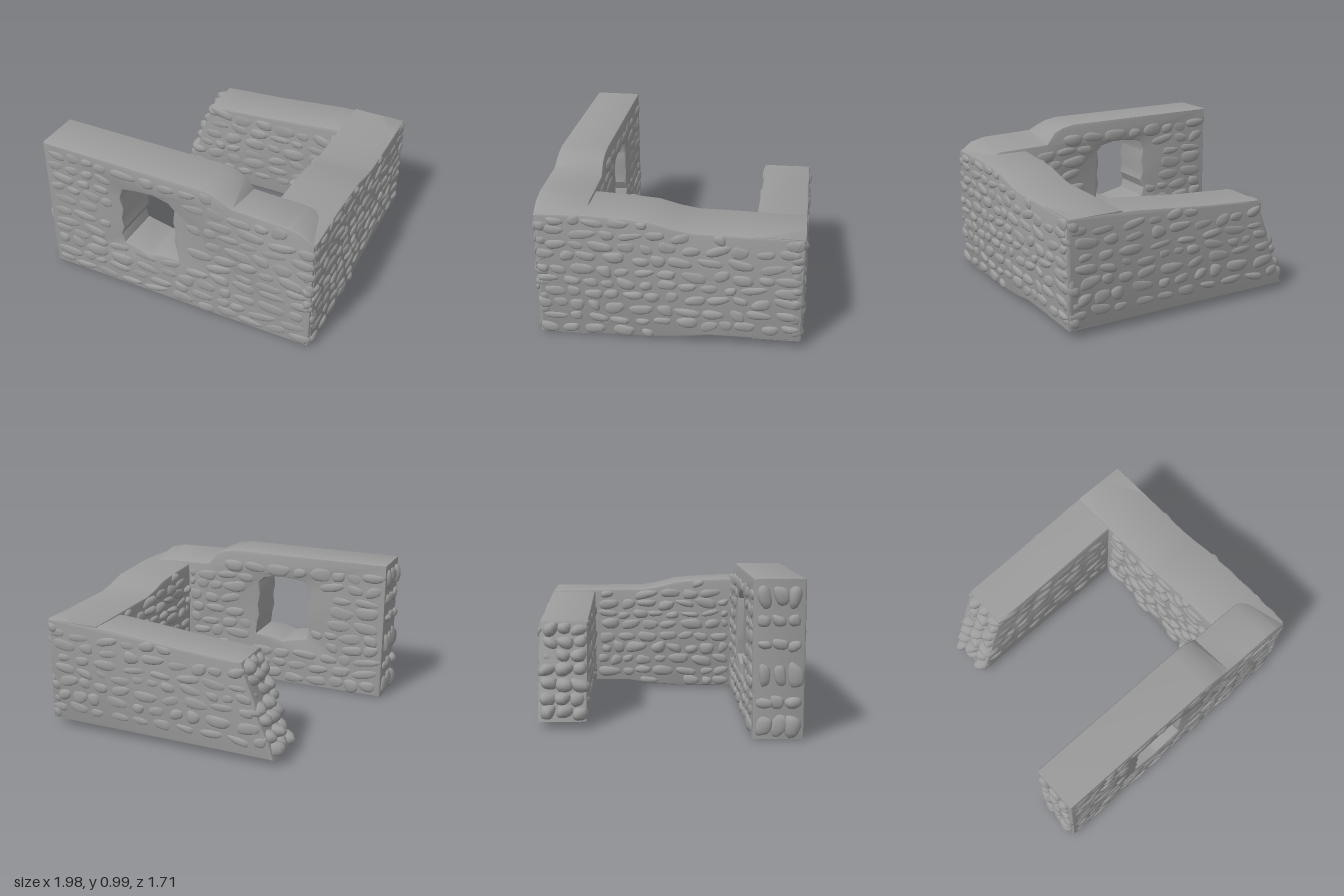
import * as THREE from 'three';
import { mergeGeometries, mergeVertices, toCreasedNormals } from 'three/addons/utils/BufferGeometryUtils.js';

const stoneGrey = new THREE.MeshStandardMaterial({ color: 0x9b9b9b });
stoneGrey.name = 'stone grey';

let seed = 11;
const rand = (a = 0, b = 1) => {
  seed = (seed * 16807) % 2147483647;
  return a + (b - a) * (seed / 2147483647);
};

// Height profiles: [position along the wall, height]
const frontTop = [[-0.95, 1], [0.2, 1], [0.29, 0.985], [0.36, 0.955], [0.42, 0.925], [0.6, 0.92],
  [0.78, 0.915], [0.88, 0.89], [0.96, 0.83]];
const sideTop = [[-0.83, 0.76], [-0.4, 0.768], [-0.15, 0.77], [-0.03, 0.79], [0.1, 0.825], [0.25, 0.837], [0.5, 0.85], [0.82, 0.84]];
const sideBottom = [[-0.83, 0.065], [-0.25, 0.06], [-0.1, 0.035], [0.1, 0.022], [0.82, 0.01]];
const backTop = [[-0.43, 0.67], [-0.3, 0.68], [0, 0.70], [0.5, 0.75], [0.96, 0.765]];
const backEnd = y => -0.64 + 0.24 * Math.max(0, y - 0.06) / 0.61;

function heightAt(profile, a) {
  for (let i = 1; i < profile.length; i++) {
    const [p, h] = profile[i - 1], [q, k] = profile[i];
    if (a <= q) return h + (k - h) * Math.max(0, (a - p) / (q - p));
  }
  return profile[profile.length - 1][1];
}

// Solid wall core with softened edges
function wallCore(name, points, depth, place, hole) {
  const shape = new THREE.Shape(points.map(p => new THREE.Vector2(...p)));
  if (hole) shape.holes.push(new THREE.Path(hole.map(p => new THREE.Vector2(...p))));
  const bevel = 0.014;
  let g = new THREE.ExtrudeGeometry(shape, {
    depth: depth - 2 * bevel, bevelEnabled: true, bevelSize: bevel, bevelThickness: bevel, bevelOffset: -bevel, bevelSegments: 2
  });
  g.translate(0, 0, bevel);
  place(g);
  g = toCreasedNormals(g, 0.6);
  const mesh = new THREE.Mesh(g, stoneGrey);
  mesh.name = name;
  return mesh;
}

// One irregular rounded stone; w along the face, h upward, d outward
function stone(x, y, z, w, h, d, angle, tilt = rand(-0.18, 0.18)) {
  let g = new THREE.SphereGeometry(1, 12, 8);
  g.deleteAttribute('uv');
  g.deleteAttribute('normal');
  g = mergeVertices(g, 1e-4);
  const p = g.attributes.position, k = rand(0, 6), taper = rand(-0.3, 0.3), skew = rand(-0.3, 0.3);
  const box = v => Math.sign(v) * Math.abs(v) ** 0.82;
  for (let i = 0; i < p.count; i++) {
    const a = p.getX(i), b = p.getY(i), c = p.getZ(i);
    const lump = 1 + 0.1 * Math.sin(3 * a + k) * Math.cos(2.5 * b + k);
    p.setXYZ(i, box(a) * lump + skew * b, box(b) * lump * (1 + taper * a), c * (1 + 0.2 * Math.sin(2 * a + k)));
  }
  g.scale(w / 2, h / 2, d);
  g.rotateZ(tilt);
  g.rotateY(angle);
  g.translate(x, y, z);
  g.computeVertexNormals();
  return g;
}

// Irregular courses of stones over one wall face
function facing(name, { angle, plane, from, to, top, bottom = () => 0.015, start = () => from, skip = () => false, size = 1, gap = 0.01, d = 0.02 }) {
  const alongX = Math.abs(Math.sin(angle)) < 0.5, stones = [];
  for (let y = 0.02; y < 1;) {
    const row = rand(0.075, 0.105) * size;
    for (let a = Math.max(from, start(y)) + rand(0, 0.03); a < to - 0.04;) {
      const w = Math.min(rand(0.09, 0.21) * size, to - a), h = row * rand(0.65, 1.05);
      const c = a + w / 2, m = y + row / 2 + rand(-0.012, 0.012);
      const clear = m + h / 2 < Math.min(top(a), top(a + w)) && m - h / 2 > bottom(c) - 0.01;
      if (clear && !skip(c, m, w, h)) {
        const depth = d * rand(0.6, 1.15);
        stones.push(alongX ? stone(c, m, plane, w, h, depth, angle) : stone(plane, m, c, w, h, depth, angle));
      }
      a += w + rand(0, gap * 2);
    }
    y += row + gap * 0.4;
  }
  return merged(name, stones);
}

function merged(name, list) {
  const mesh = new THREE.Mesh(mergeGeometries(list), stoneGrey);
  mesh.name = name;
  return mesh;
}

export function createModel() {
  const model = new THREE.Group();
  model.name = 'ruinedStoneWalls';

  // Front wall with ragged window opening
  const opening = [[-0.37, 0.38], [-0.3, 0.365], [-0.18, 0.34], [-0.1, 0.365], [0.03, 0.37], [0.02, 0.46], [0.005, 0.52],
    [0.015, 0.6], [0, 0.68], [0.012, 0.77], [-0.03, 0.81], [-0.14, 0.835], [-0.27, 0.825], [-0.36, 0.81],
    [-0.385, 0.73], [-0.365, 0.65], [-0.38, 0.57], [-0.365, 0.5], [-0.39, 0.44]];
  model.add(wallCore('frontWall', [[-0.95, 0.01], [0.96, 0.01], ...[...frontTop].reverse()], 0.32, g => {
    g.translate(0, 0, 0.515);
    const p = g.attributes.position;
    for (let i = 0; i < p.count; i++) { // corner top dips towards the inside
      if (p.getY(i) > 0.78 && p.getX(i) > 0.39 && p.getZ(i) < 0.68) p.setY(i, p.getY(i) - 0.05);
    }
  }, opening));

  // Side wall, drawn with -z along the shape
  model.add(wallCore('sideWall', [...sideTop].map(([z, y]) => [-z, y]).concat([...sideBottom].reverse().map(([z, y]) => [-z, y])),
    0.38, g => g.rotateY(Math.PI / 2).translate(0.588, 0, 0)));

  // Back wall with broken end
  model.add(wallCore('backWall', [[-0.65, 0.05], [0.96, 0.06], ...[...backTop].reverse(),
    [-0.47, 0.55], [-0.52, 0.43], [-0.55, 0.3], [-0.61, 0.18]], 0.32, g => g.translate(0, 0, -0.835)));

  // Stone facings
  const half = Math.PI / 2;
  const topOf = profile => a => heightAt(profile, a);
  const innerTop = a => heightAt(frontTop, a) - (a > 0.36 ? 0.05 : 0);
  const atWindow = (a, y, w, h) => a + w / 2 > -0.4 && a - w / 2 < 0.04 && y + h / 2 > 0.36 && y - h / 2 < 0.83;
  const sideLow = a => heightAt(sideBottom, a);
  const backLow = () => 0.06;
  model.add(
    facing('frontOuterStones', { angle: 0, plane: 0.83, from: -0.94, to: 0.97, top: topOf(frontTop), skip: atWindow, d: 0.017 }),
    facing('frontInnerStones', { angle: Math.PI, plane: 0.52, from: -0.94, to: 0.58, top: innerTop, skip: atWindow }),
    facing('sideOuterStones', { angle: half, plane: 0.965, from: -0.83, to: 0.83, top: topOf(sideTop), bottom: sideLow, size: 0.82, gap: 0.022 }),
    facing('sideInnerStones', { angle: -half, plane: 0.593, from: -0.5, to: 0.5, top: topOf(sideTop), bottom: sideLow, size: 0.85, gap: 0.015, d: 0.035 }),
    facing('backOuterStones', { angle: Math.PI, plane: -0.828, from: -0.66, to: 0.96, start: backEnd, top: topOf(backTop), bottom: backLow, size: 0.9, gap: 0.018 }),
    facing('backInnerStones', { angle: 0, plane: -0.523, from: -0.66, to: 0.58, start: backEnd, top: topOf(backTop), bottom: backLow })
  );

  // Stones on the free end of the front wall
  const endStones = [];
  for (const [y, h] of [[0.09, 0.15], [0.24, 0.09], [0.42, 0.2], [0.6, 0.07], [0.74, 0.09], [0.9, 0.17]]) {
    for (const z of [0.585, 0.675, 0.77]) {
      endStones.push(stone(-0.95, y + rand(-0.012, 0.012), z + rand(-0.01, 0.01), rand(0.07, 0.11), h * rand(0.65, 0.95), rand(0.025, 0.042), -half));
    }
  }
  model.add(merged('frontEndStones', endStones));

  // Stepped stones on the broken back end
  const broken = [];
  for (let y = 0.105; y < 0.64; y += 0.086) {
    for (const z of [-0.77, -0.67, -0.57]) {
      broken.push(stone(backEnd(y) + 0.02 + rand(-0.015, 0.015), y + rand(-0.01, 0.01), z + rand(-0.01, 0.01),
        rand(0.1, 0.13), rand(0.08, 0.1), rand(0.07, 0.09), -half));
    }
  }
  model.add(merged('brokenEndStones', broken));

  // Quoins on the two outer corners
  const quoins = [];
  for (const [z, low, high] of [[0.79, 0.06, 0.79], [-0.79, 0.11, 0.72]]) {
    for (let y = low; y < high; y += 0.1) {
      quoins.push(stone(0.925, y, z, rand(0.09, 0.11), rand(0.085, 0.105), rand(0.045, 0.055), 0, 0));
    }
  }
  model.add(merged('cornerStones', quoins));

  return model;
}
